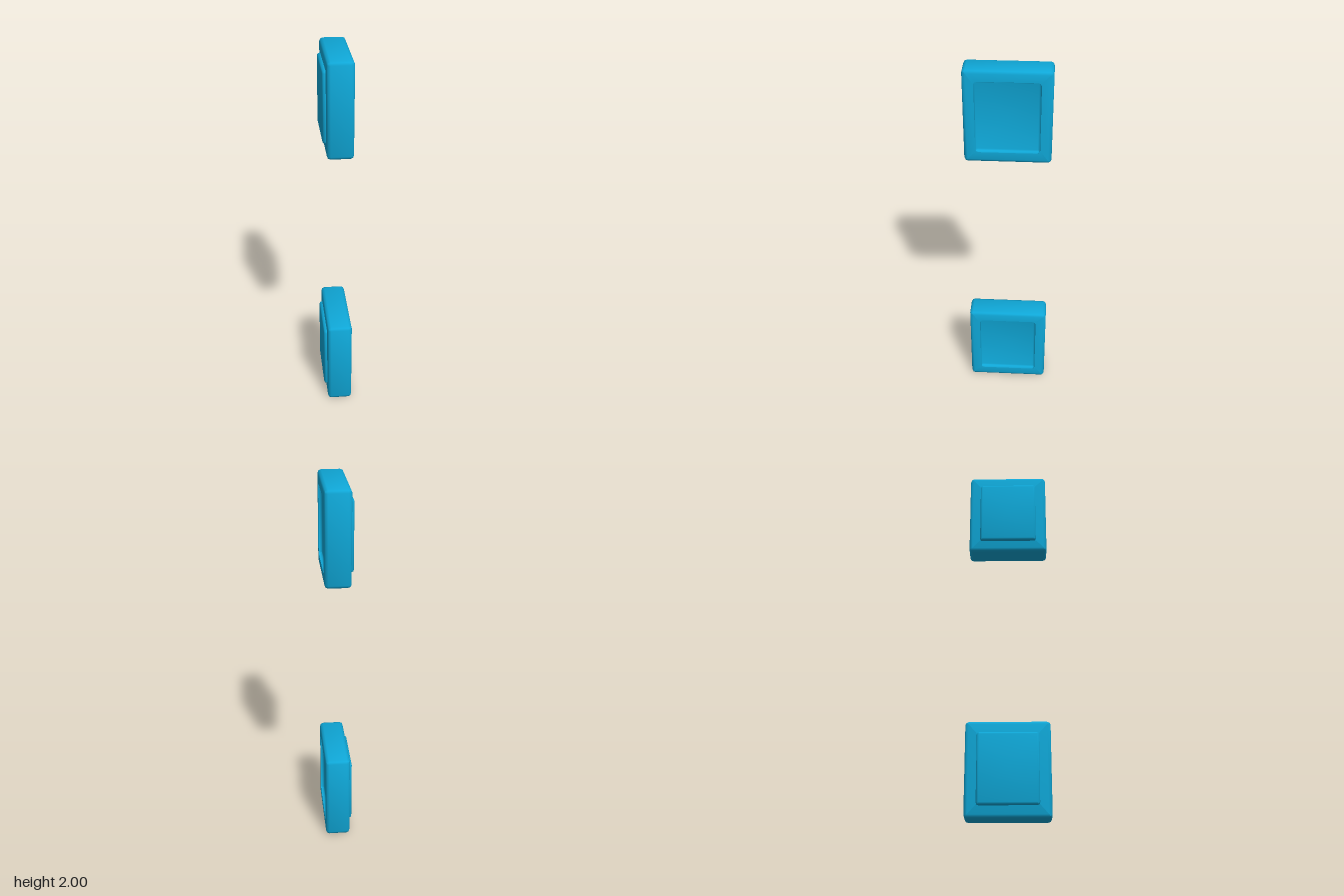
import * as THREE from 'three';
import { toCreasedNormals } from 'three/addons/utils/BufferGeometryUtils.js';

const SEG = 2; // segments per rounded corner
const BEVEL = 0.018;

// Rounded rectangle in the yz plane at a given x
function ring({ x, hz, hy, r }) {
  const points = [];
  const signs = [[1, 1], [-1, 1], [-1, -1], [1, -1]];
  signs.forEach(([sz, sy], corner) => {
    for (let i = 0; i <= SEG; i++) {
      const a = (corner + i / SEG) * Math.PI / 2;
      points.push([x, sy * (hy - r) + r * Math.sin(a), sz * (hz - r) + r * Math.cos(a)]);
    }
  });
  return points;
}

// Skin a series of rings, ordered so that the faces point outwards
function loft(sections) {
  const rings = sections.map(ring);
  const n = rings[0].length;
  const index = [];
  for (let k = 0; k < rings.length - 1; k++) {
    for (let i = 0; i < n; i++) {
      const a = k * n + i, b = k * n + (i + 1) % n;
      index.push(a, a + n, b, b, a + n, b + n);
    }
  }
  const geometry = new THREE.BufferGeometry();
  geometry.setAttribute('position', new THREE.Float32BufferAttribute(rings.flat(2), 3));
  geometry.setIndex(index);
  return toCreasedNormals(geometry, 0.9);
}

// Quarter-round edge at x, growing from the flat face (dir +1 heads towards +x)
function edge(x, hz, hy, r, dir) {
  const list = [];
  for (let i = 0; i <= SEG; i++) {
    const a = i / SEG * Math.PI / 2;
    const inset = r * (1 - Math.sin(a));
    list.push({ x: x + dir * r * (1 - Math.cos(a)), hz: hz - inset, hy: hy - inset, r: Math.max(r - inset, 0.0005) });
  }
  return list;
}

const centre = x => ({ x, hz: 0, hy: 0, r: 0 });

export function createModel() {
  const model = new THREE.Group();
  const material = new THREE.MeshStandardMaterial({ color: 0x0fa8d8 });

  const left = 0.075, right = -0.059, hz = 0.218, hy = 0.2475;
  const depth = 0.019;

  // Bevelled block with a shallow pocket in its +x face
  const blockGeometry = loft([
    centre(right),
    ...edge(right, hz, hy, BEVEL, 1),
    ...edge(left, hz, hy, BEVEL, -1).reverse(),
    { x: left, hz: 0.161, hy: 0.19, r: 0.016 },
    ...edge(left - depth, 0.161, 0.19, 0.012, 1).reverse(),
    centre(left - depth),
  ]);

  // Raised panel on the -x face, matching the pocket
  const panelGeometry = loft([
    centre(-0.076),
    ...edge(-0.076, 0.158, 0.186, 0.013, 1),
    { x: right + 0.002, hz: 0.158, hy: 0.186, r: 0.013 },
  ]);

  // Lower and upper units
  for (const [name, y] of [['lowerUnit', hy], ['upperUnit', 2 - hy]]) {
    const unit = new THREE.Group();
    unit.name = name;
    const block = new THREE.Mesh(blockGeometry, material);
    block.name = 'recessedBlock';
    const panel = new THREE.Mesh(panelGeometry, material);
    panel.name = 'raisedPanel';
    unit.add(block, panel);
    unit.position.y = y;
    model.add(unit);
  }
  return model;
}
